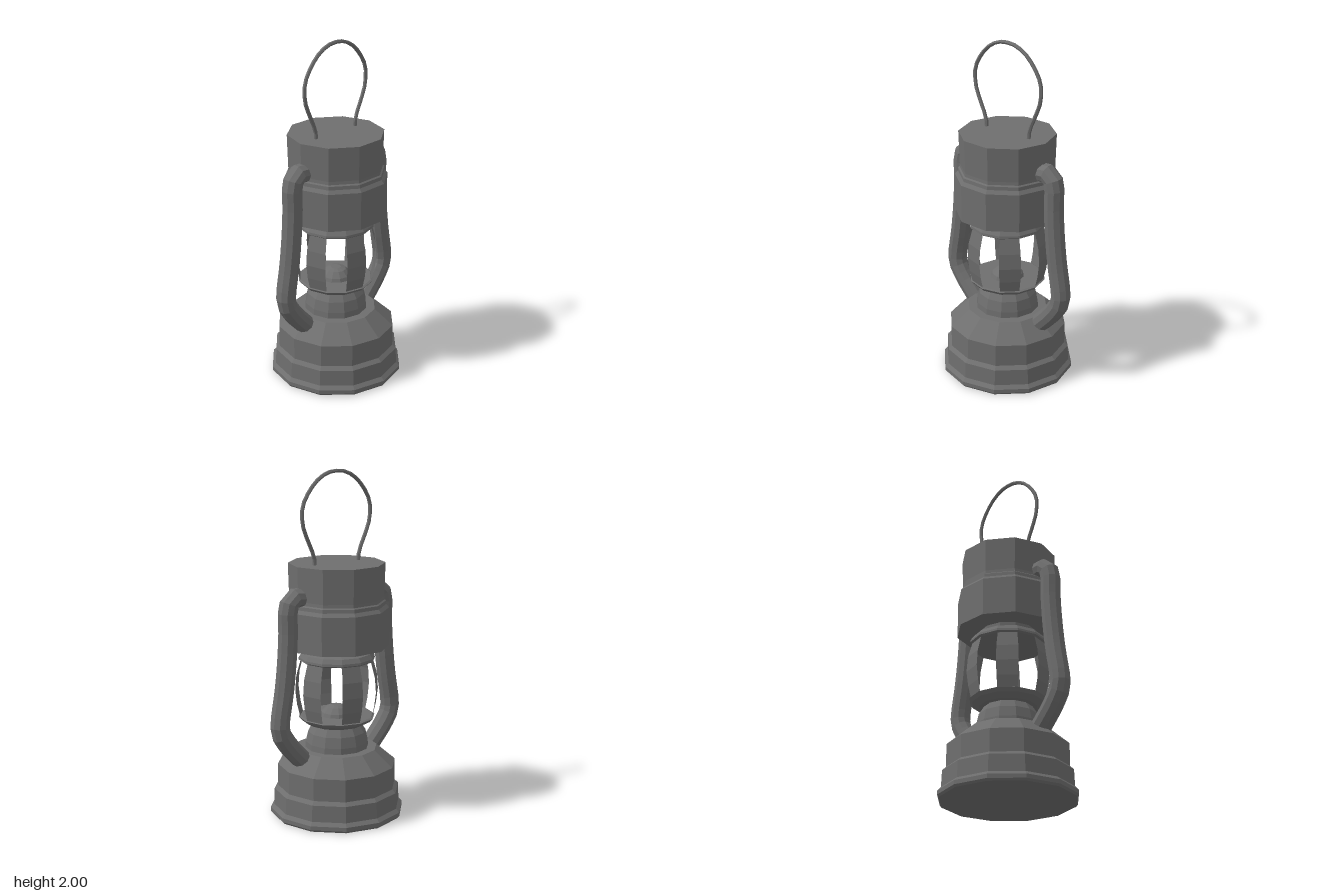
import * as THREE from 'three';

// Double sided because the globe slats are open sheets
const metal = new THREE.MeshStandardMaterial({ color: 0x6e6e6e, side: THREE.DoubleSide });
metal.name = 'grey metal';

function addPart(parent, name, geometry) {
  const flat = geometry.toNonIndexed();
  flat.computeVertexNormals();
  const mesh = new THREE.Mesh(flat, metal);
  mesh.name = name;
  parent.add(mesh);
  return mesh;
}

const profile = (pairs) => pairs.map(([r, y]) => new THREE.Vector2(r, y));
const turned = (pairs, sides) => new THREE.LatheGeometry(profile(pairs), sides);

// Bent tube in the x = 0 plane, closed with a disc of triangles at each end
function addTube(parent, name, pairs, steps, radius, sides) {
  const curve = new THREE.CatmullRomCurve3(pairs.map(([z, y]) => new THREE.Vector3(0, y, z)));
  const group = new THREE.Group();
  group.name = name;
  parent.add(group);
  addPart(group, name + 'Tube', new THREE.TubeGeometry(curve, steps, radius, sides));
  for (const t of [0, 1]) {
    const cap = addPart(group, name + 'End', new THREE.CircleGeometry(radius, sides));
    cap.position.copy(curve.getPointAt(t));
    const out = curve.getTangentAt(t).multiplyScalar(t ? 1 : -1);
    cap.quaternion.setFromUnitVectors(new THREE.Vector3(0, 0, 1), out);
  }
  return group;
}

export function createModel() {
  const lantern = new THREE.Group();
  lantern.name = 'lantern';

  // Fuel tank with rolled foot and sloping shoulder
  addPart(lantern, 'tank', turned([
    [0, 0], [0.38, 0], [0.39, 0.012], [0.39, 0.035], [0.37, 0.055], [0.366, 0.15],
    [0.345, 0.17], [0.345, 0.3], [0.235, 0.395], [0, 0.4],
  ], 12));

  // Dome carrying the globe holder
  addPart(lantern, 'dome', turned([
    [0.185, 0.39], [0.182, 0.43], [0.168, 0.49], [0.14, 0.535], [0, 0.54],
  ], 12));
  addPart(lantern, 'globeHolder', turned([
    [0.135, 0.535], [0.165, 0.538], [0.205, 0.56], [0.222, 0.58], [0.21, 0.585], [0, 0.585],
  ], 12));

  // Burner
  addPart(lantern, 'burner', turned([
    [0.1, 0.58], [0.09, 0.605], [0.06, 0.635], [0.03, 0.645], [0, 0.645],
  ], 12));

  // Six curved slats, alternating with gaps
  const slat = profile([[0.213, 0.58], [0.23, 0.65], [0.241, 0.735], [0.234, 0.825], [0.208, 0.92]]);
  for (let i = 0; i < 6; i++) {
    addPart(lantern, 'globeSlat', new THREE.LatheGeometry(slat, 1, i * Math.PI / 3, Math.PI / 6));
  }

  // Collar above the globe
  addPart(lantern, 'collar', turned([
    [0, 0.912], [0.21, 0.912], [0.222, 0.92], [0.22, 0.933], [0.203, 0.958],
    [0.165, 0.97], [0.165, 1.005],
  ], 12));

  // Hood and chimney
  addPart(lantern, 'hood', turned([
    [0, 0.995], [0.298, 0.995], [0.298, 1.215], [0.282, 1.235], [0.28, 1.255],
    [0.272, 1.262], [0.27, 1.28], [0.276, 1.475], [0, 1.475],
  ], 10));

  // Side tubes, front and back
  const sideTube = [
    [0.24, 1.3], [0.285, 1.307], [0.325, 1.285], [0.343, 1.225], [0.341, 1.13],
    [0.352, 0.95], [0.372, 0.78], [0.402, 0.6], [0.398, 0.545], [0.345, 0.46], [0.255, 0.362],
  ];
  addTube(lantern, 'frontTube', sideTube, 20, 0.057, 10);
  addTube(lantern, 'backTube', sideTube.map(([z, y]) => [-z, y]), 20, 0.057, 10);

  // Carrying bail
  const half = [
    [0.155, 1.46], [0.16, 1.52], [0.195, 1.6], [0.233, 1.69], [0.241, 1.77],
    [0.231, 1.82], [0.175, 1.905], [0.115, 1.957], [0.05, 1.984],
  ];
  const mirrored = half.map(([z, y]) => [-z, y]).reverse();
  addTube(lantern, 'bail', [...half, [0, 1.989], ...mirrored], 28, 0.011, 6);

  return lantern;
}
